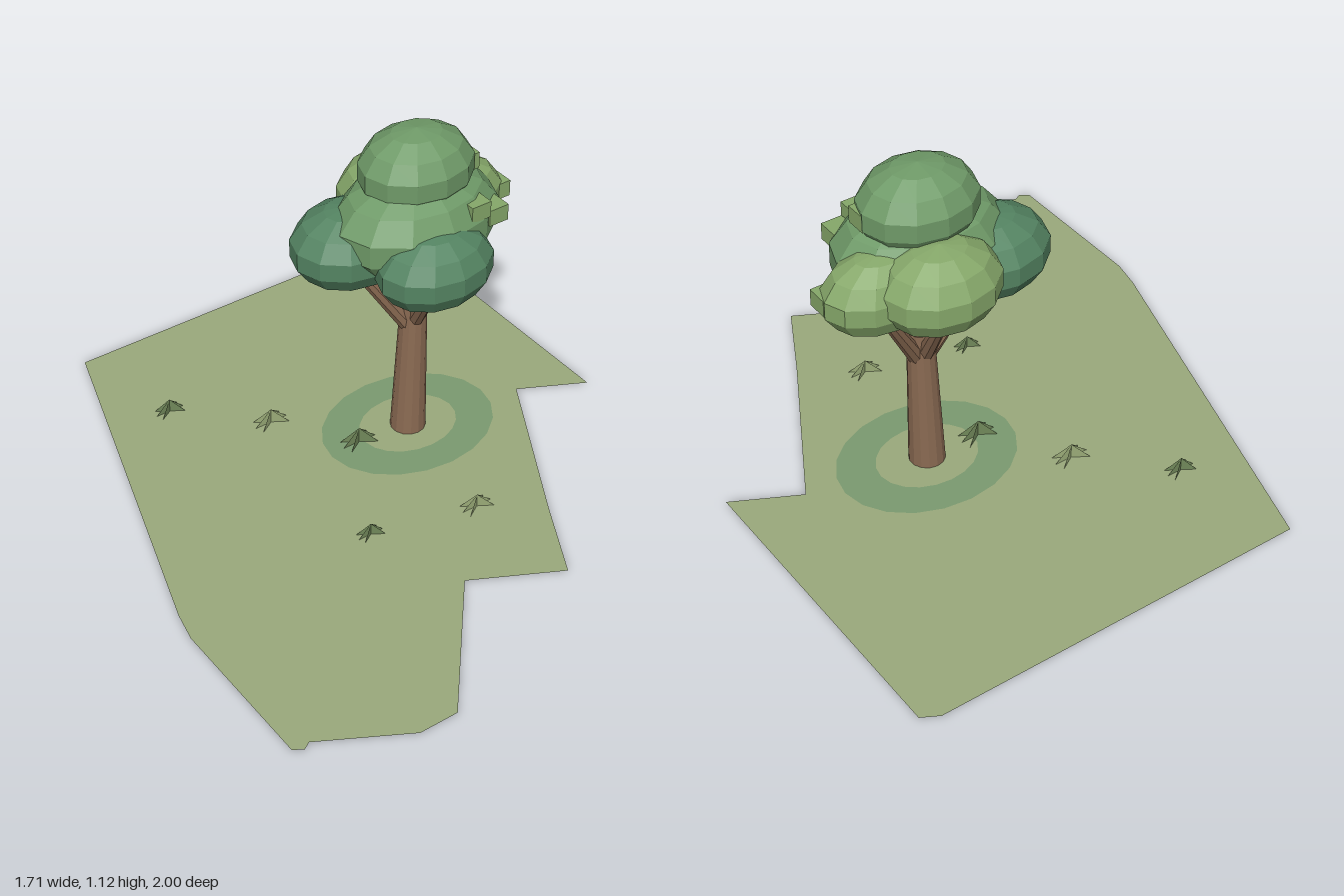
import * as THREE from 'three';

const mat = (color, flatShading = true) =>
  new THREE.MeshStandardMaterial({ color, flatShading, side: THREE.DoubleSide });

const GROUND = mat(0x9aa97c);
const RING = mat(0x7b9a70);
const BARK = mat(0x8a6a52);
const LEAF = mat(0x6f9a68);
const LEAF_DARK = mat(0x548462);
const LEAF_LIGHT = mat(0x86a86a);
const GRASS = mat(0x71885a);
const GRASS_LIGHT = mat(0x9aab78);

const TREE = { x: 0.24, z: -0.107 };

function add(parent, name, geometry, material) {
  const mesh = new THREE.Mesh(geometry, material);
  mesh.name = name;
  parent.add(mesh);
  return mesh;
}

// Flat sheet in the xz plane from a 2D shape whose y runs along +z
function sheet(shape, y) {
  return new THREE.ShapeGeometry(shape, 10).scale(1, -1, 1).rotateX(-Math.PI / 2).translate(0, y, 0);
}

// Tapered round limb between two points
function limb(from, to, r0, r1) {
  const a = new THREE.Vector3(...from);
  const dir = new THREE.Vector3(...to).sub(a);
  const len = dir.length();
  const turn = new THREE.Quaternion().setFromUnitVectors(new THREE.Vector3(0, 1, 0), dir.normalize());
  return new THREE.CylinderGeometry(r1, r0, len, 8)
    .translate(0, len / 2, 0)
    .applyQuaternion(turn)
    .translate(...from);
}

// Tuft: three upright triangles crossing at the tip
function tuft(halfWidth, height) {
  const group = new THREE.Group();
  group.name = 'grassTuft';
  const shape = new THREE.Shape([
    new THREE.Vector2(-halfWidth, 0),
    new THREE.Vector2(halfWidth, 0),
    new THREE.Vector2(0, height),
  ]);
  for (const angle of [-0.55, 0, 0.55]) {
    const blade = new THREE.ShapeGeometry(shape).rotateY(angle);
    add(group, 'grassBlade', blade, halfWidth > 0.05 && height < 0.055 ? GRASS_LIGHT : GRASS);
  }
  return group;
}

export function createModel() {
  const model = new THREE.Group();
  model.name = 'treeOnGround';

  // Irregular ground patch
  const outline = [
    [-0.46, -1], [0.8, -1], [0.855, -0.97], [0.855, 0.07], [0.64, -0.04],
    [0.35, 0.485], [0.22, 0.735], [-0.06, 0.59], [-0.4, 1], [-0.53, 1],
    [-0.8, 0.85], [-0.825, 0.865], [-0.855, 0.845], [-0.855, 0.32], [-0.835, 0.22],
  ].map(([x, z]) => new THREE.Vector2(x, z));
  add(model, 'ground', sheet(new THREE.Shape(outline), 0), GROUND);

  // Darker oval ring around the trunk
  const ring = new THREE.Shape().absellipse(TREE.x, TREE.z, 0.3, 0.24, 0, Math.PI * 2);
  ring.holes.push(new THREE.Path().absellipse(TREE.x, TREE.z, 0.17, 0.135, 0, Math.PI * 2));
  add(model, 'groundRing', sheet(ring, 0.002), RING);

  const tree = new THREE.Group();
  tree.name = 'tree';
  model.add(tree);

  // Trunk, leaning slightly to one side
  const trunk = new THREE.CylinderGeometry(0.042, 0.058, 0.51, 14)
    .translate(0, 0.255, 0)
    .applyMatrix4(new THREE.Matrix4().makeShear(0, 0, 0.034, 0, 0, 0))
    .translate(TREE.x, 0, TREE.z);
  add(tree, 'trunk', trunk, BARK);

  // Branches fanning into the crown
  const branches = [
    [[0.24, 0.4, -0.107], [0.05, 0.69, -0.16]],
    [[0.27, 0.41, -0.11], [0.435, 0.69, -0.18]],
    [[0.25, 0.44, -0.085], [0.205, 0.69, 0.08]],
    [[0.25, 0.42, -0.12], [0.29, 0.71, -0.3]],
    [[0.257, 0.48, -0.107], [0.265, 0.75, -0.1]],
  ];
  for (const [from, to] of branches) add(tree, 'branch', limb(from, to, 0.027, 0.018), BARK);

  // Crown: overlapping squashed faceted balls [centre, radii, material]
  const crown = [
    ['crownCore', [0.247, 0.815, -0.095], [0.285, 0.17, 0.21], LEAF],
    ['crownTop', [0.265, 0.98, -0.118], [0.192, 0.135, 0.16], LEAF],
    ['crownFront', [0.207, 0.742, 0.06], [0.197, 0.132, 0.154], LEAF_DARK],
    ['crownRight', [0.062, 0.755, -0.17], [0.202, 0.135, 0.168], LEAF_DARK],
    ['crownLeft', [0.425, 0.778, -0.172], [0.198, 0.132, 0.133], LEAF_LIGHT],
    ['crownBack', [0.3, 0.8, -0.276], [0.195, 0.14, 0.16], LEAF_LIGHT],
  ];
  for (const [name, centre, radii, material] of crown) {
    const ball = new THREE.SphereGeometry(1, 12, 7).scale(...radii).translate(...centre);
    add(tree, name, ball, material);
  }

  // Small square leaf clumps poking out of the crown
  const clumps = [[0.433, 0.843, 0.045], [0.36, 0.885, 0.052], [0.582, 0.78, -0.13], [0.415, 0.97, -0.08]];
  for (const [x, y, z] of clumps) {
    add(tree, 'leafClump', new THREE.BoxGeometry(0.07, 0.055, 0.07).translate(x, y, z), LEAF_LIGHT);
  }

  // Grass tufts [x, z, half width, height]
  const tufts = [
    [-0.36, -0.61, 0.05, 0.048],
    [-0.12, -0.37, 0.06, 0.052],
    [0.055, -0.12, 0.063, 0.058],
    [-0.17, 0.26, 0.045, 0.043],
    [0.175, 0.345, 0.055, 0.046],
  ];
  for (const [x, z, w, h] of tufts) {
    const t = tuft(w, h);
    t.position.set(x, 0, z);
    model.add(t);
  }

  return model;
}
